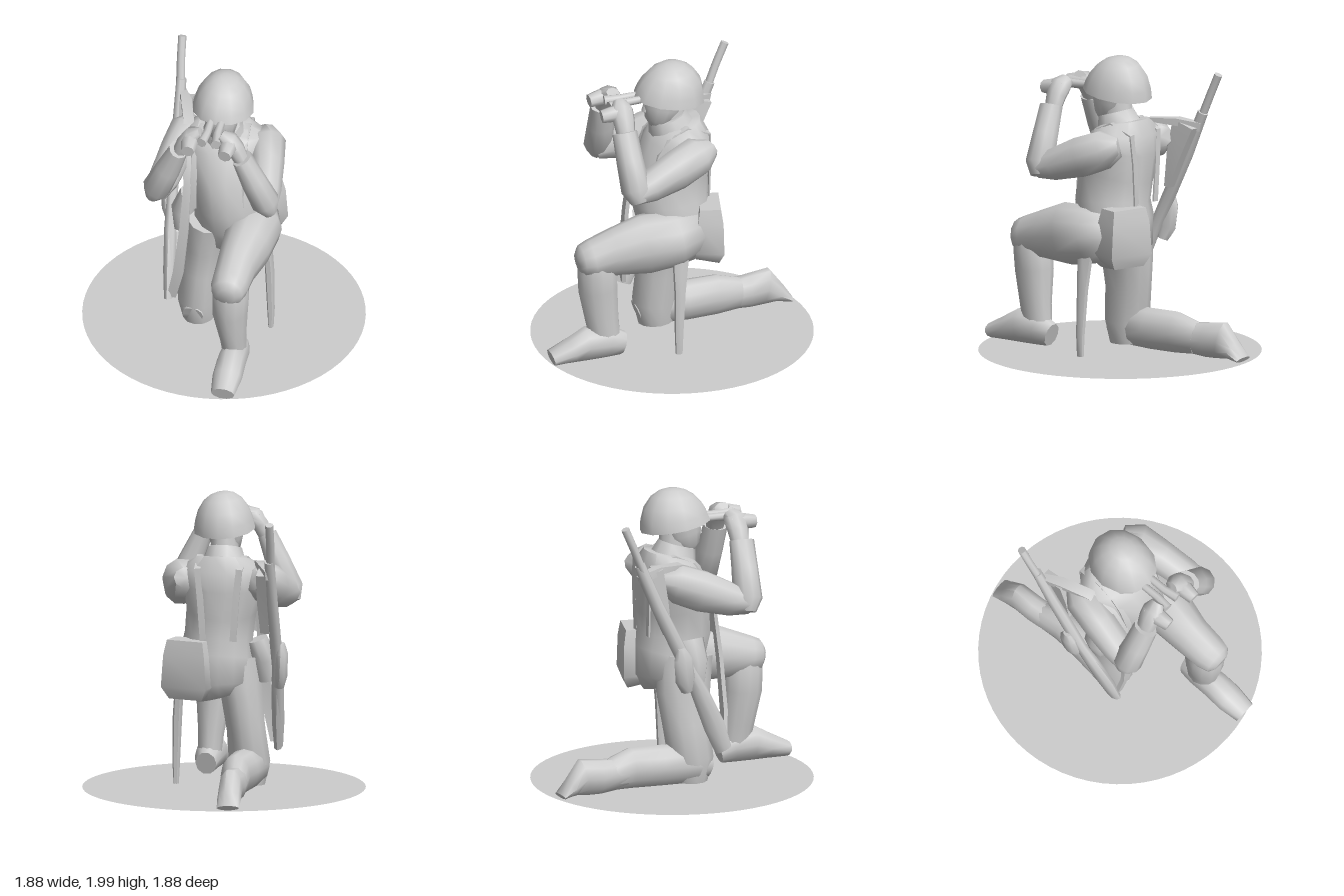
import * as THREE from 'three';
import { toCreasedNormals } from 'three/addons/utils/BufferGeometryUtils.js';

const grey = new THREE.MeshStandardMaterial({ color: 0xcccccc, side: THREE.DoubleSide });
grey.name = 'stone grey';

// Closed tube through sections [x, y, z, halfWidth, halfDepth]; four sides give a box section.
function loft(sections, sides = 12, crease = 1.1) {
  const pos = [], idx = [];
  const c = sections.map(s => new THREE.Vector3(s[0], s[1], s[2]));
  const last = c.length - 1;
  const k = sides === 4 ? Math.SQRT2 : 1, phase = sides === 4 ? Math.PI / 4 : 0;
  c.forEach((p, i) => {
    const t = c[Math.min(i + 1, last)].clone().sub(c[Math.max(i - 1, 0)]).normalize();
    const u = new THREE.Vector3(1, 0, 0).addScaledVector(t, -t.x).normalize();
    const v = t.clone().cross(u);
    for (let j = 0; j < sides; j++) {
      const a = phase + j / sides * Math.PI * 2;
      const q = p.clone().addScaledVector(u, Math.cos(a) * sections[i][3] * k)
        .addScaledVector(v, Math.sin(a) * sections[i][4] * k);
      pos.push(q.x, q.y, q.z);
    }
  });
  pos.push(...c[0].toArray(), ...c[last].toArray());
  const start = sides * c.length;
  for (let j = 0; j < sides; j++) {
    const n = (j + 1) % sides;
    for (let i = 0; i < last; i++) {
      const a = i * sides + j, b = i * sides + n;
      idx.push(a, b, a + sides, b, b + sides, a + sides);
    }
    idx.push(start, n, j, start + 1, last * sides + j, last * sides + n);
  }
  const g = new THREE.BufferGeometry();
  g.setAttribute('position', new THREE.Float32BufferAttribute(pos, 3));
  g.setIndex(idx);
  return toCreasedNormals(g, crease);
}

export function createModel() {
  const model = new THREE.Group();
  model.name = 'kneelingLookout';
  const add = (name, geometry) => {
    const m = new THREE.Mesh(geometry, grey);
    m.name = name;
    model.add(m);
    return m;
  };

  // Round ground plate
  const disc = new THREE.CircleGeometry(0.94, 64);
  disc.rotateX(-Math.PI / 2);
  add('groundDisc', disc).position.y = 0.003;

  // Jacket and collar
  add('torso', loft([
    [0.03, 0.62, -0.03, 0.15, 0.15], [0.05, 0.7, -0.03, 0.24, 0.22],
    [0.05, 0.88, 0, 0.25, 0.25], [0.04, 1.02, 0.03, 0.23, 0.26],
    [0.02, 1.2, 0.02, 0.235, 0.26], [0, 1.4, -0.03, 0.28, 0.22],
    [0, 1.5, -0.06, 0.27, 0.18], [0, 1.56, -0.05, 0.17, 0.14]], 14));
  const collar = add('collar', loft([[0, -0.05, 0, 0.15, 0.16], [0, 0.05, 0, 0.115, 0.13]], 10));
  collar.position.set(0, 1.56, 0.02);
  collar.rotation.x = 0.3;
  // Shoulder straps, almost flush with the jacket
  for (const s of [-1, 1])
    add('shoulderStrap', loft([
      [s * 0.16, 1.02, 0.222, 0.022, 0.006], [s * 0.16, 1.22, 0.212, 0.022, 0.006],
      [s * 0.16, 1.4, 0.155, 0.022, 0.006], [s * 0.16, 1.5, 0.09, 0.022, 0.006],
      [s * 0.15, 1.565, -0.05, 0.022, 0.006], [s * 0.14, 1.5, -0.21, 0.022, 0.006],
      [s * 0.12, 1.3, -0.22, 0.022, 0.006], [s * 0.1, 1.02, -0.218, 0.022, 0.006]], 4));

  // Head and helmet
  add('neck', loft([[0, 1.48, 0, 0.1, 0.11], [0, 1.7, 0.03, 0.09, 0.11]], 10));
  add('head', loft([
    [0, 1.54, 0.11, 0.05, 0.05], [0, 1.59, 0.095, 0.09, 0.1],
    [0, 1.68, 0.07, 0.115, 0.135], [0, 1.8, 0.05, 0.12, 0.14]], 12));
  add('nose', loft([[0, 1.66, 0.195, 0.025, 0.02], [0, 1.74, 0.18, 0.015, 0.012]], 6));
  const helmet = add('helmet', loft([
    [0, -0.01, 0, 0.207, 0.245], [0.002, 0.05, 0.005, 0.195, 0.232],
    [0.005, 0.12, 0.015, 0.173, 0.203], [0.01, 0.185, 0.03, 0.13, 0.15],
    [0.014, 0.222, 0.04, 0.08, 0.09], [0.016, 0.236, 0.044, 0.035, 0.035]], 12));
  helmet.position.set(0, 1.748, 0.02);
  helmet.rotation.x = -0.22;

  // Arms, hands and the two barrels of the field glasses
  for (const s of [-1, 1]) {
    const side = s > 0 ? 'left' : 'right';
    add(side + 'UpperArm', loft([
      [s * 0.22, 1.43, -0.17, 0.09, 0.07], [s * 0.27, 1.41, -0.08, 0.13, 0.135],
      [s * 0.31, 1.35, 0.08, 0.115, 0.14], [s * 0.345, 1.28, 0.28, 0.105, 0.11],
      [s * 0.37, 1.25, 0.4, 0.08, 0.075]], 10));
    add(side + 'Forearm', loft([
      [s * 0.4, 1.2, 0.37, 0.05, 0.06], [s * 0.37, 1.28, 0.385, 0.095, 0.1],
      [s * 0.29, 1.46, 0.4, 0.085, 0.09], [s * 0.215, 1.64, 0.41, 0.065, 0.085]], 10));
    add(side + 'Hand', loft([
      [s * 0.22, 1.6, 0.4, 0.045, 0.06], [s * 0.175, 1.7, 0.4, 0.055, 0.075],
      [s * 0.125, 1.765, 0.4, 0.06, 0.08], [s * 0.07, 1.795, 0.39, 0.035, 0.05]], 8));
    add(side + 'Fingers', loft([
      [s * 0.13, 1.745, 0.36, 0.055, 0.055], [s * 0.13, 1.745, 0.46, 0.058, 0.055],
      [s * 0.125, 1.735, 0.54, 0.045, 0.045]], 8));
    add(side + 'Eyepiece', loft([
      [s * 0.035, 1.77, 0.22, 0.026, 0.026], [s * 0.035, 1.765, 0.36, 0.028, 0.028],
      [s * 0.05, 1.76, 0.46, 0.035, 0.035]], 8));
  }

  // Raised left leg
  add('leftThigh', loft([
    [0.19, 0.83, -0.1, 0.15, 0.16], [0.22, 0.81, 0.06, 0.185, 0.195],
    [0.21, 0.79, 0.27, 0.165, 0.21], [0.185, 0.755, 0.46, 0.135, 0.17],
    [0.18, 0.725, 0.63, 0.125, 0.135], [0.18, 0.72, 0.7, 0.105, 0.11],
    [0.18, 0.715, 0.73, 0.06, 0.065]], 12, 1.5));
  add('leftShin', loft([
    [0.18, 0.72, 0.6, 0.11, 0.115], [0.18, 0.64, 0.592, 0.125, 0.135],
    [0.175, 0.5, 0.585, 0.12, 0.135], [0.19, 0.27, 0.56, 0.088, 0.115],
    [0.2, 0.06, 0.53, 0.075, 0.1]]));
  add('leftBoot', loft([
    [0.2, 0.08, 0.42, 0.07, 0.08], [0.2, 0.11, 0.52, 0.092, 0.11],
    [0.2, 0.118, 0.67, 0.098, 0.118], [0.2, 0.085, 0.78, 0.1, 0.085],
    [0.2, 0.05, 0.92, 0.08, 0.05]], 10));

  // Kneeling right leg
  add('rightThigh', loft([
    [-0.155, 0.02, 0.06, 0.11, 0.12], [-0.16, 0.17, 0.065, 0.14, 0.155],
    [-0.14, 0.4, 0.04, 0.13, 0.165], [-0.115, 0.62, 0.03, 0.14, 0.19],
    [-0.08, 0.86, 0.05, 0.16, 0.2]]));
  add('rightShin', loft([
    [-0.17, 0.1, 0.19, 0.07, 0.08], [-0.17, 0.14, 0.08, 0.125, 0.14],
    [-0.15, 0.14, -0.15, 0.115, 0.14], [-0.145, 0.145, -0.36, 0.1, 0.14],
    [-0.165, 0.12, -0.52, 0.085, 0.11]]));
  add('rightBoot', loft([
    [-0.16, 0.12, -0.42, 0.085, 0.1], [-0.175, 0.12, -0.6, 0.085, 0.118],
    [-0.18, 0.13, -0.72, 0.08, 0.13], [-0.185, 0.07, -0.81, 0.08, 0.065],
    [-0.19, 0.02, -0.89, 0.075, 0.02]], 10));

  // Bag on the back of the left hip
  const bag = add('hipBag', loft([
    [0, -0.2, 0.02, 0.12, 0.08], [0, -0.13, 0.005, 0.165, 0.095],
    [0, 0.08, 0, 0.15, 0.085], [0, 0.18, 0, 0.13, 0.07]], 4, 1.3));
  bag.position.set(0.2, 0.84, -0.19);
  bag.rotation.y = -0.27;

  // Scabbard hanging to the ground
  add('scabbard', loft([
    [0.335, 0.003, 0.07, 0.018, 0.025], [0.335, 0.15, 0.07, 0.026, 0.03],
    [0.325, 0.45, 0.06, 0.032, 0.04], [0.31, 0.68, 0.05, 0.03, 0.06]], 6));

  // Slung rifle with bolt and muzzle
  add('rifleStock', loft([
    [-0.325, 0.25, 0.23, 0.03, 0.06], [-0.335, 0.42, 0.16, 0.042, 0.075],
    [-0.355, 0.68, 0.04, 0.042, 0.06], [-0.365, 0.82, -0.03, 0.036, 0.045],
    [-0.37, 1.0, -0.12, 0.04, 0.05], [-0.375, 1.3, -0.27, 0.038, 0.045],
    [-0.38, 1.6, -0.4, 0.034, 0.038]], 8));
  add('rifleBarrel', loft([
    [-0.38, 1.5, -0.36, 0.03, 0.028], [-0.395, 1.72, -0.45, 0.028, 0.028],
    [-0.4, 1.865, -0.515, 0.028, 0.028]], 8));
  add('rifleBolt', loft([[-0.36, 0.93, -0.09, 0.018, 0.018], [-0.44, 0.9, -0.11, 0.02, 0.02]], 6));

  // Sling over the right shoulder and down the front
  add('rifleSling', loft([
    [-0.37, 1.5, -0.39, 0.02, 0.03], [-0.31, 1.53, -0.24, 0.035, 0.025],
    [-0.25, 1.53, -0.05, 0.035, 0.012], [-0.225, 1.42, 0.12, 0.03, 0.012],
    [-0.2, 1.2, 0.21, 0.025, 0.012], [-0.215, 0.85, 0.25, 0.03, 0.014],
    [-0.25, 0.5, 0.265, 0.035, 0.014], [-0.3, 0.28, 0.24, 0.03, 0.014]], 4));
  // Web of cloth bridging the back and the rifle
  add('slingWeb', loft([
    [-0.31, 1.08, -0.17, 0.03, 0.02], [-0.31, 1.3, -0.23, 0.035, 0.055],
    [-0.32, 1.52, -0.3, 0.035, 0.085]], 4));

  // Canteen and pouch on the right hip
  add('canteen', loft([
    [-0.38, 0.7, -0.06, 0.035, 0.04], [-0.4, 0.78, -0.08, 0.042, 0.07],
    [-0.41, 0.93, -0.1, 0.04, 0.065], [-0.41, 1.0, -0.11, 0.02, 0.03]], 8));
  add('rightPouch', loft([
    [-0.27, 0.72, 0.05, 0.06, 0.07], [-0.265, 0.86, 0.04, 0.085, 0.1],
    [-0.22, 1.0, 0.03, 0.07, 0.1]], 8));

  return model;
}
